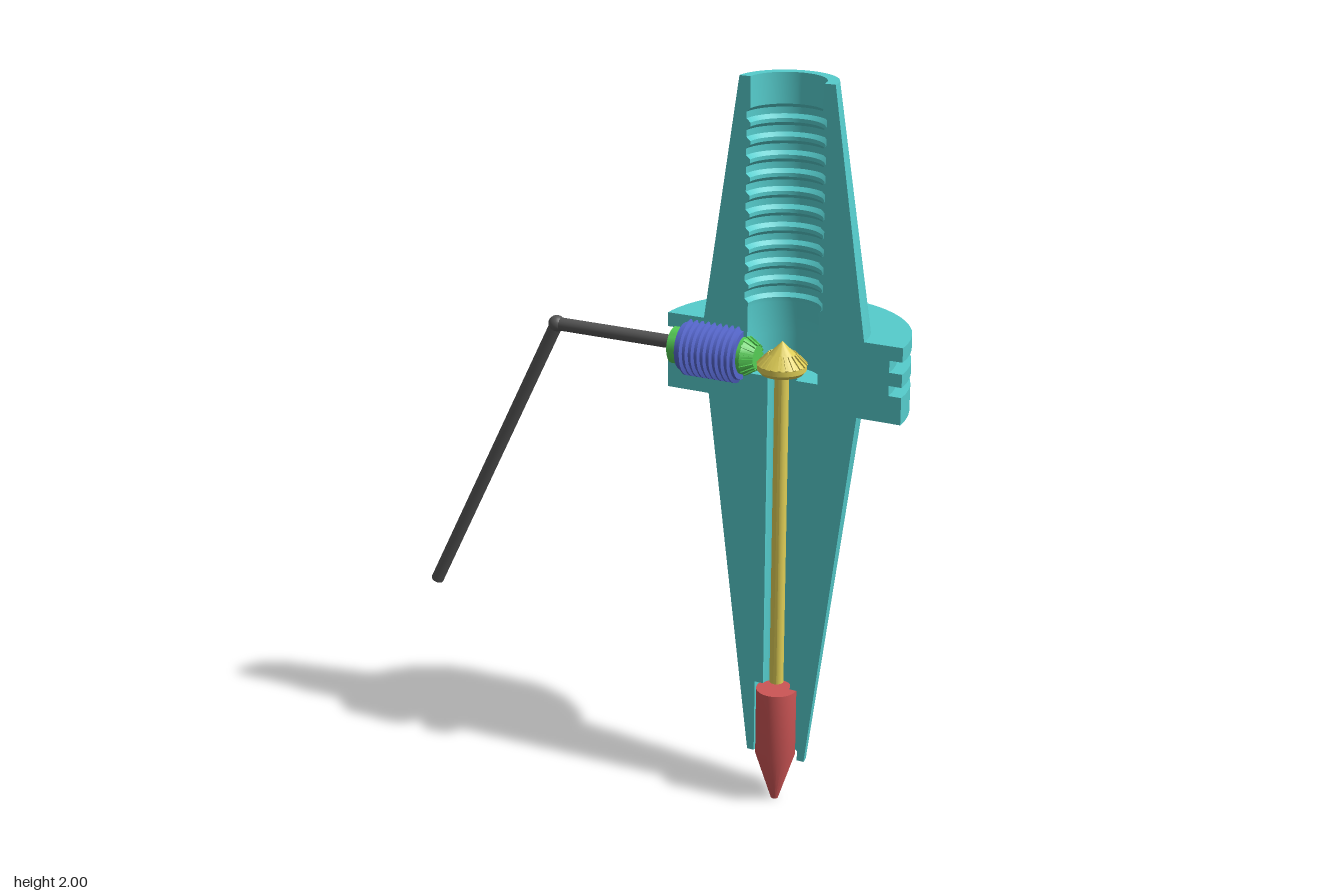
import * as THREE from 'three';
import { toCreasedNormals } from 'three/addons/utils/BufferGeometryUtils.js';

const AX = 0.385, AZ = 0.125, BORE_Y = 1.27, BORE_R = 0.047;
const paint = (color) => new THREE.MeshStandardMaterial({ color, side: THREE.DoubleSide });
const teal = paint(0x55cccc), red = paint(0xcc5555), yellow = paint(0xddcc55);
const green = paint(0x55cc55), blue = paint(0x5566cc), dark = paint(0x555555);
const v2 = (pts) => pts.map(([r, y]) => new THREE.Vector2(r, y));

function lathe(name, pts, mat, segs = 28, start = 0, sweep = Math.PI * 2) {
  const geo = toCreasedNormals(new THREE.LatheGeometry(v2(pts), segs, start, sweep), 0.45);
  const mesh = new THREE.Mesh(geo, mat);
  mesh.name = name;
  return mesh;
}

// round rod between two points
function rod(name, a, b, r, mat) {
  const dir = b.clone().sub(a);
  const mesh = new THREE.Mesh(new THREE.CylinderGeometry(r, r, dir.length(), 16), mat);
  mesh.position.copy(a).add(b).multiplyScalar(0.5);
  mesh.quaternion.setFromUnitVectors(new THREE.Vector3(0, 1, 0), dir.normalize());
  mesh.name = name;
  return mesh;
}

// bevel gear along y: stepped cone with slanted teeth
function bevelGear(name, pts, mat, rBase, yBase, rTop, yTop, count) {
  const g = new THREE.Group();
  g.name = name;
  g.add(lathe(name + 'Core', pts, mat));
  const slope = Math.hypot(rBase - rTop, yTop - yBase);
  const tooth = new THREE.BoxGeometry(0.007, slope, 0.007);
  tooth.rotateX(-Math.atan2(rBase - rTop, yTop - yBase));
  tooth.translate(0, (yBase + yTop) / 2, (rBase + rTop) / 2);
  for (let i = 0; i < count; i++) {
    const t = new THREE.Mesh(tooth, mat);
    t.name = name + 'Tooth';
    t.rotation.y = (i / count) * Math.PI * 2;
    g.add(t);
  }
  return g;
}

// half housing, cut open along its front plane
function housing() {
  const g = new THREE.Group();
  g.name = 'housing';
  const lo = BORE_Y - BORE_R, hi = BORE_Y + BORE_R;
  const outLow = [[0.085, 0.13], [0.21, 1.15], [0.33, 1.15], [0.33, lo]];
  const outMid = [[0.295, lo], [0.295, 1.25], [0.33, 1.25], [0.33, 1.285], [0.295, 1.285], [0.295, hi]];
  const outHigh = [[0.33, hi], [0.33, 1.355], [0.225, 1.355], [0.13, 2]];
  const inHigh = [[0.1, 2]];
  const pitch = 0.047;
  for (let i = 0; i < 11; i++) { // grooves in the upper bore
    const y = 1.92 - i * pitch;
    inHigh.push([0.098, y], [0.109, y - 0.01], [0.109, y - 0.027], [0.098, y - 0.037]);
  }
  inHigh.push([0.1, 1.4], [0.1, hi]);
  const inLow = [[0.1, lo], [0.04, lo], [0.04, 0.34], [0.065, 0.34], [0.065, 0.13]];
  const ring = [...outLow, ...outMid, ...outHigh, ...inHigh, ...inLow];
  const notch = 0.15, end = Math.PI * 1.5;
  g.add(lathe('shell', [...ring, ring[0]], teal, 26, Math.PI / 2, Math.PI - notch));
  // the shell beside the side bore keeps only its lower and upper walls
  g.add(lathe('lowerShellEnd', [...inLow, ...outLow, outMid[0]], teal, 2, end - notch, notch));
  g.add(lathe('upperShellEnd', [outMid[5], ...outHigh, ...inHigh], teal, 2, end - notch, notch));

  // flat cut faces
  const flip = (pts) => pts.map(([r, y]) => [-r, y]);
  const faces = [ring, flip([...outLow, ...inLow]), flip([...outHigh, ...inHigh])];
  for (const pts of faces) {
    const face = new THREE.Mesh(new THREE.ShapeGeometry(new THREE.Shape(v2(pts))), teal);
    face.name = 'cutFace';
    g.add(face);
  }
  // half-round wall of the side bore
  const wall = new THREE.CylinderGeometry(BORE_R, BORE_R, 0.225, 16, 1, true, Math.PI / 2, Math.PI);
  const bore = new THREE.Mesh(wall.rotateZ(-Math.PI / 2), teal);
  bore.position.set(-0.2125, BORE_Y, 0);
  bore.name = 'sideBore';
  g.add(bore);
  return g;
}

// drive unit lying along x
function sideDrive() {
  const g = new THREE.Group();
  g.name = 'sideDrive';
  const spool = [[0, 0], [0.065, 0]];
  for (let i = 0; i < 9; i++) {
    const y = 0.012 + i * 0.0172;
    spool.push([0.066, y], [0.076, y + 0.004], [0.076, y + 0.008], [0.066, y + 0.012]);
  }
  spool.push([0.065, 0.17], [0, 0.17]);
  const barrel = lathe('ridgedBarrel', spool, blue);
  barrel.position.y = 0.105;
  g.add(barrel);
  g.add(lathe('endCollar', [[0, 0.075], [0.05, 0.075], [0.05, 0.106], [0, 0.106]], green));
  g.add(bevelGear('pinion', [[0, 0.27], [0.05, 0.27], [0.05, 0.286], [0.03, 0.315], [0, 0.315]],
    green, 0.05, 0.284, 0.031, 0.315, 16));
  g.rotation.z = -Math.PI / 2;
  g.position.set(0, BORE_Y, AZ);
  return g;
}

export function createModel() {
  const model = new THREE.Group();
  model.name = 'cutawayDriveTool';

  const spindle = new THREE.Group();
  spindle.name = 'spindle';
  spindle.position.set(AX, 0, AZ);
  spindle.add(housing());
  spindle.add(lathe('driveShaft', [[0, 0.355], [0.019, 0.355], [0.019, 1.25], [0, 1.25]], yellow, 16));
  spindle.add(bevelGear('crownGear',
    [[0, 1.238], [0.055, 1.238], [0.064, 1.248], [0.064, 1.262], [0.035, 1.29], [0.03, 1.295], [0, 1.325]],
    yellow, 0.064, 1.262, 0.035, 1.291, 20));
  spindle.add(lathe('bitTip',
    [[0, 0], [0.01, 0], [0.055, 0.14], [0.055, 0.335], [0, 0.335]], red, 24));
  model.add(spindle);

  model.add(sideDrive());

  // bent crank handle
  const elbow = new THREE.Vector3(-0.283, 1.275, AZ);
  model.add(rod('crankRod', new THREE.Vector3(0.11, 1.275, AZ), elbow, 0.018, dark));
  model.add(rod('crankArm', elbow, new THREE.Vector3(-0.7, 0.437, AZ), 0.018, dark));
  const knob = new THREE.Mesh(new THREE.SphereGeometry(0.023, 16, 12), dark);
  knob.position.copy(elbow);
  knob.name = 'crankElbow';
  model.add(knob);
  return model;
}
